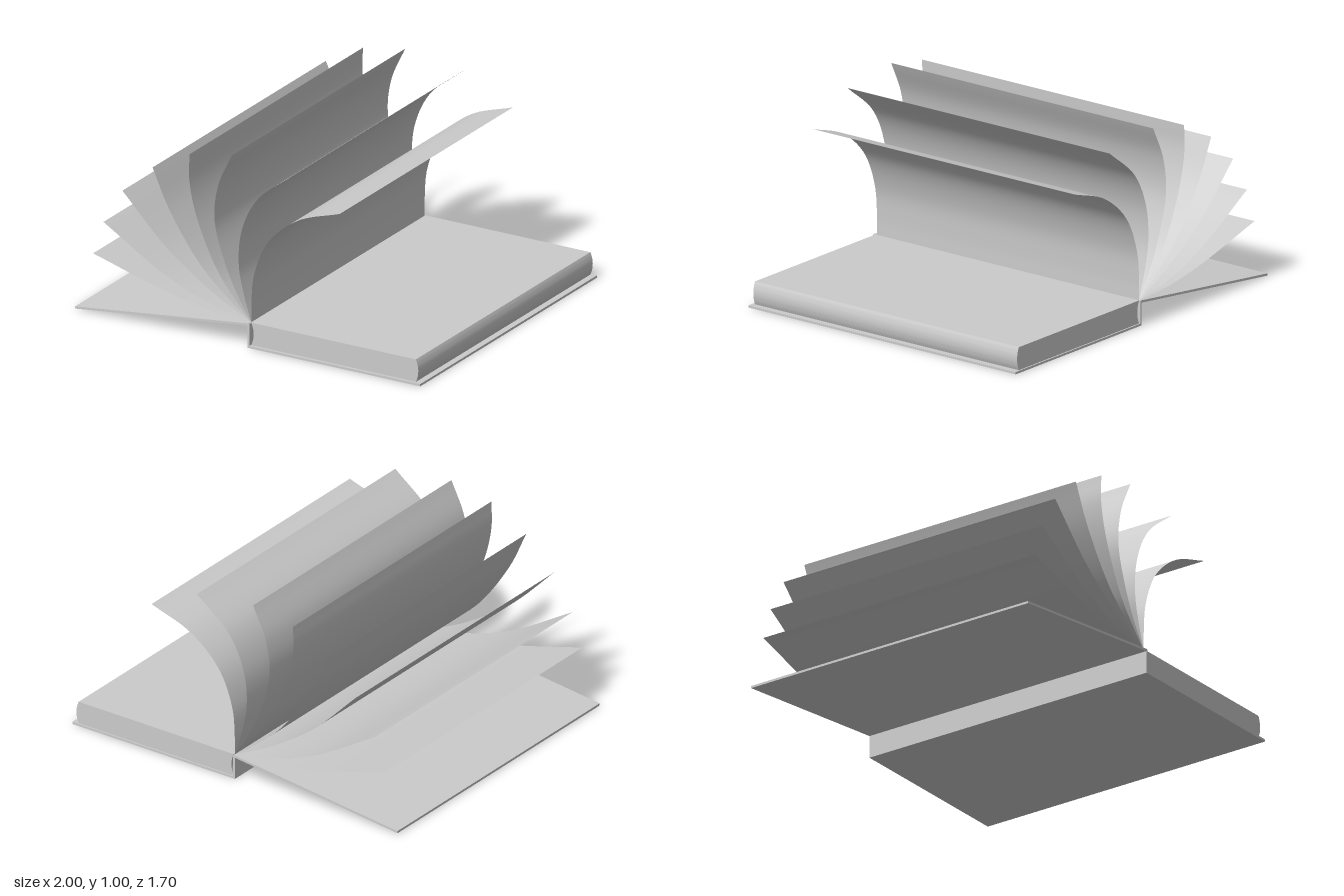
import * as THREE from 'three';
import { toCreasedNormals } from 'three/addons/utils/BufferGeometryUtils.js';

const paper = new THREE.MeshStandardMaterial({ color: 0xcccccc });
const sheet = new THREE.MeshStandardMaterial({ color: 0xcccccc, side: THREE.DoubleSide });

// Extrude a front outline from z0 to z1
function slab(name, shape, z0, z1) {
  const geo = new THREE.ExtrudeGeometry(shape, { depth: z1 - z0, bevelEnabled: false, curveSegments: 16 });
  geo.translate(0, 0, z0);
  const mesh = new THREE.Mesh(toCreasedNormals(geo, 0.5), paper);
  mesh.name = name;
  return mesh;
}

const outline = (...pts) => new THREE.Shape(pts.map(([x, y]) => new THREE.Vector2(x, y)));

// Curved sheet: a plane bent along a curve through the given front-view points
function page(name, pts, z0, z1) {
  const curve = new THREE.CatmullRomCurve3(pts.map(([x, y]) => new THREE.Vector3(x, y, 0)), false, 'centripetal');
  const n = 32;
  const geo = new THREE.PlaneGeometry(1, 1, n, 1);
  const pos = geo.attributes.position;
  for (let i = 0; i < pos.count; i++) {
    const p = curve.getPointAt(THREE.MathUtils.clamp(pos.getX(i) + 0.5, 0, 1));
    pos.setXYZ(i, p.x, p.y, pos.getY(i) > 0 ? z0 : z1);
  }
  geo.computeVertexNormals();
  const mesh = new THREE.Mesh(geo, sheet);
  mesh.name = name;
  return mesh;
}

export function createModel() {
  const book = new THREE.Group();
  book.name = 'openBook';

  // Hard covers and spine
  book.add(slab('backCover', outline([0, 0], [1, 0], [1, 0.012], [0, 0.012]), -0.85, 0.85));
  book.add(slab('spine', outline([0, 0.012], [0.01, 0.012], [0.01, 0.13], [0, 0.13]), -0.85, 0.85));
  book.add(slab('frontCover', outline([-1, 0.004], [0.003, 0.119], [0.002, 0.131], [-1, 0.016]), -0.85, 0.85));

  // Page block with hollow inner edge and rounded fore edge
  const block = new THREE.Shape();
  block.moveTo(0.012, 0.012);
  block.lineTo(0.966, 0.012);
  block.quadraticCurveTo(0.994, 0.072, 0.966, 0.132);
  block.lineTo(0.012, 0.132);
  block.quadraticCurveTo(0.04, 0.072, 0.012, 0.012);
  book.add(slab('pageBlock', block, -0.843, 0.835));

  // Fanned pages, each from the spine to its free edge
  const root = [0.008, 0.131];
  const fan = [
    [[-0.2, 0.143], [-0.47, 0.19], [-0.91, 0.31]],
    [[-0.2, 0.172], [-0.47, 0.27], [-0.85, 0.49]],
    [[-0.2, 0.235], [-0.47, 0.417], [-0.74, 0.68]],
    [[-0.12, 0.225], [-0.285, 0.375], [-0.465, 0.63], [-0.565, 0.84]],
    [[-0.07, 0.215], [-0.185, 0.36], [-0.31, 0.63], [-0.352, 0.82], [-0.35, 0.955]],
    [[-0.05, 0.22], [-0.135, 0.39], [-0.205, 0.63], [-0.185, 0.82], [-0.105, 1.0]],
    [[-0.033, 0.26], [-0.065, 0.42], [-0.048, 0.61], [0.04, 0.79], [0.24, 0.957]],
    [[0.008, 0.23], [0.024, 0.39], [0.105, 0.578], [0.275, 0.727], [0.52, 0.815]],
  ];
  fan.forEach((pts, i) => book.add(page(`page${i + 1}`, [root, ...pts], -0.84, 0.827)));

  return book;
}
